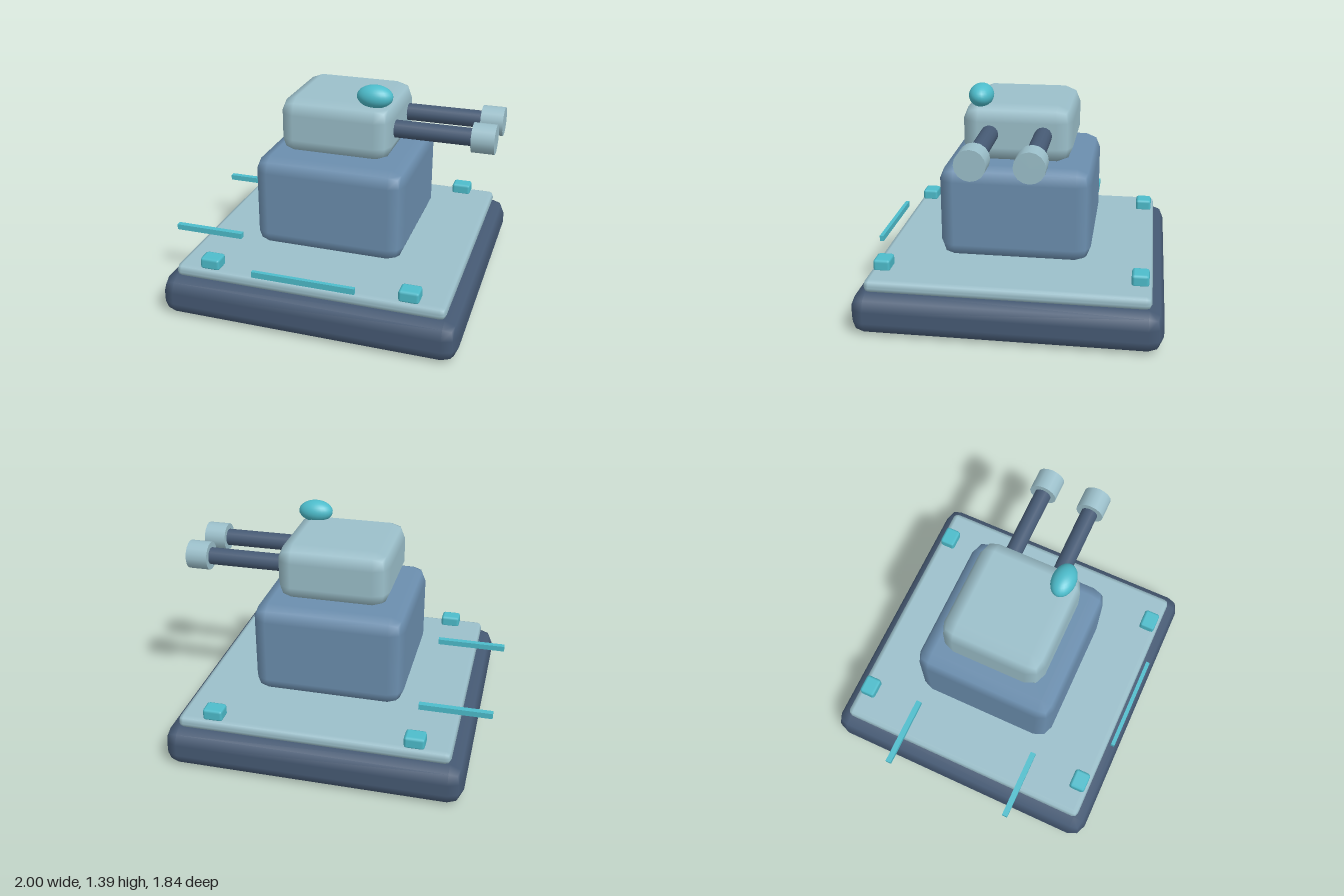
import * as THREE from 'three';
import { RoundedBoxGeometry } from 'three/addons/geometries/RoundedBoxGeometry.js';

function material(name, color) {
  const m = new THREE.MeshStandardMaterial({ color });
  m.name = name;
  return m;
}

export function createModel() {
  const navy = material('navy', 0x465a74);
  const steel = material('steelBlue', 0x6b8eae);
  const pale = material('paleBlue', 0x9bbfca);
  const teal = material('teal', 0x4dbccb);

  const model = new THREE.Group();
  model.name = 'turret';

  function add(name, geometry, mat, x, y, z) {
    const mesh = new THREE.Mesh(geometry, mat);
    mesh.name = name;
    mesh.position.set(x, y, z);
    model.add(mesh);
    return mesh;
  }

  // Block given by its extents, with edges bevelled in two steps
  function block(name, mat, [x0, x1], [y0, y1], [z0, z1], bevel) {
    const size = [x1 - x0, y1 - y0, z1 - z0];
    const geometry = bevel
      ? new RoundedBoxGeometry(...size, 1, bevel)
      : new THREE.BoxGeometry(...size);
    return add(name, geometry, mat, (x0 + x1) / 2, (y0 + y1) / 2, (z0 + z1) / 2);
  }

  // Stacked body
  block('base', navy, [-0.89, 0.963], [0, 0.252], [-0.922, 0.922], 0.09);
  block('deck', pale, [-0.805, 0.88], [0.245, 0.325], [-0.848, 0.848], 0.035);
  block('body', steel, [-0.44, 0.515], [0.335, 0.925], [-0.465, 0.465], 0.093);
  block('head', pale, [-0.315, 0.39], [0.925, 1.28], [-0.335, 0.335], 0.098);

  // Corner lugs on the deck
  for (const x of [-0.583, 0.657]) {
    for (const z of [-0.775, 0.775]) {
      block('cornerLug', teal, [x - 0.063, x + 0.063], [0.313, 0.39], [z - 0.052, z + 0.052], 0.018);
    }
  }

  // Light bars: one along the front, two reaching out over the side
  block('frontBar', teal, [-0.28, 0.355], [0.355, 0.392], [0.867, 0.892]);
  for (const z of [-0.425, 0.422]) {
    block('sideBar', teal, [-1, -0.545], [0.34, 0.376], [z - 0.018, z + 0.018]);
  }

  // Twin barrels pointing along +x
  for (const z of [-0.162, 0.162]) {
    add('barrel', new THREE.CylinderGeometry(0.054, 0.054, 0.56, 16), navy, 0.6, 1.11, z).rotation.z = -Math.PI / 2;
    add('muzzle', new THREE.CylinderGeometry(0.09, 0.09, 0.138, 16), pale, 0.931, 1.11, z).rotation.z = -Math.PI / 2;
  }

  // Sensor dome on the head
  add('sensor', new THREE.SphereGeometry(1, 24, 16), teal, 0.275, 1.323, 0.227).scale.set(0.111, 0.07, 0.075);

  return model;
}
